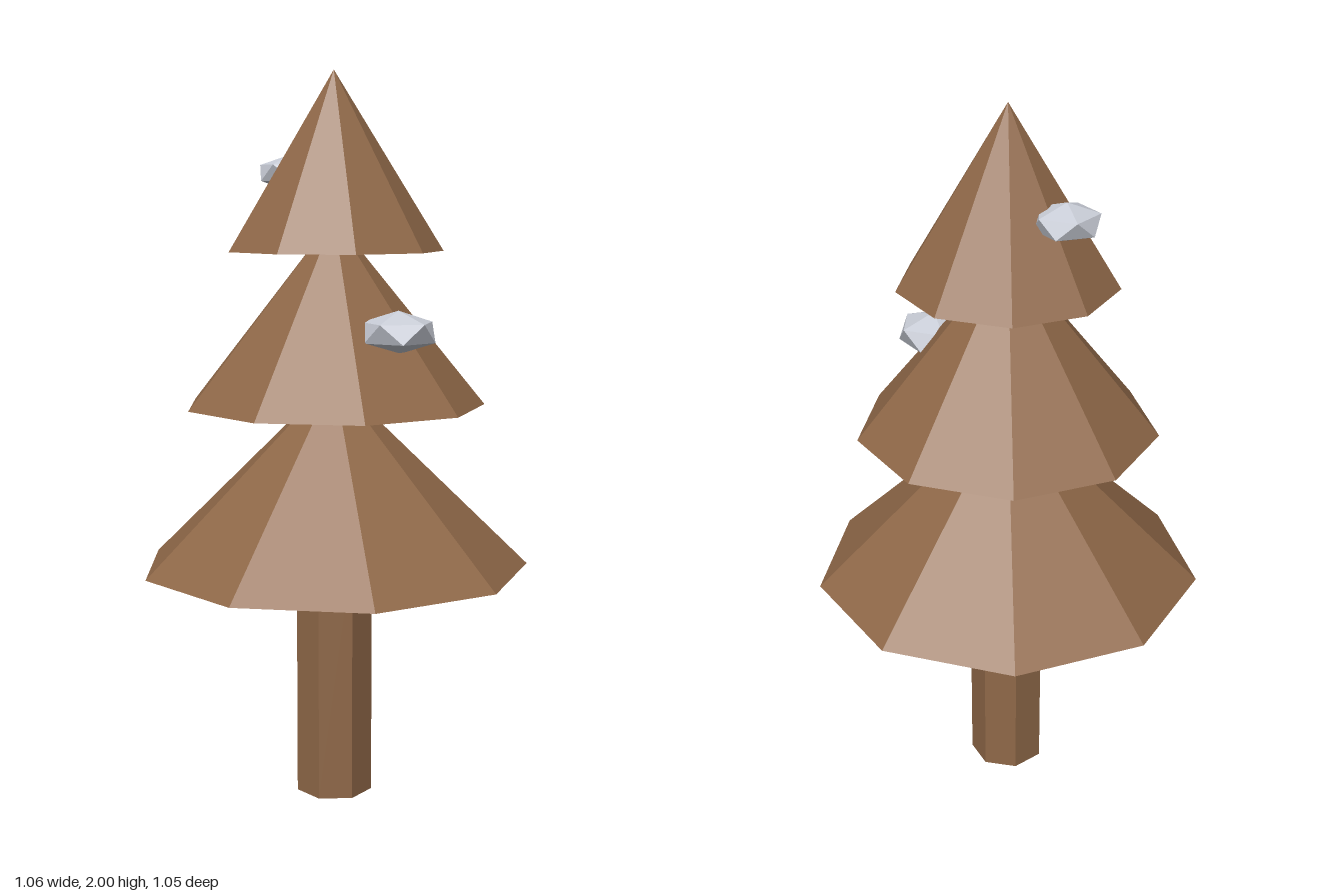
import * as THREE from 'three';

const bark = new THREE.MeshStandardMaterial({ color: 0x8f6848 });
bark.name = 'brown';
const stone = new THREE.MeshStandardMaterial({ color: 0xc8ccd6 });
stone.name = 'pale grey';

// Faceted mesh: unshared corners give every face its own normal
function facet(name, geometry, material) {
  const flat = geometry.index ? geometry.toNonIndexed() : geometry;
  flat.computeVertexNormals();
  const mesh = new THREE.Mesh(flat, material);
  mesh.name = name;
  return mesh;
}

export function createModel() {
  const tree = new THREE.Group();
  tree.name = 'tree';
  const axisZ = 0.015; // odd-sided prisms are centred by their bounds

  // Seven-sided trunk with a corner to the back
  const trunk = facet('trunk', new THREE.CylinderGeometry(0.107, 0.107, 0.7, 7).rotateY(Math.PI), bark);
  trunk.position.set(0, 0.35, axisZ);
  tree.add(trunk);

  // Three nine-sided branch tiers: name, radius, base, apex
  const tiers = [
    ['lowerTier', 0.54, 0.65, 1.175],
    ['middleTier', 0.415, 1.1, 1.61],
    ['upperTier', 0.298, 1.52, 2.0],
  ];
  for (const [name, radius, base, apex] of tiers) {
    const tier = facet(name, new THREE.ConeGeometry(radius, apex - base, 9).rotateY(Math.PI), bark);
    tier.position.set(0, (base + apex) / 2, axisZ);
    tree.add(tier);
  }

  // Flattened icosahedra standing on a corner: name, x, y, radius
  const tilt = -Math.atan(2 / (1 + Math.sqrt(5)));
  const lumps = [
    ['leftLump', 0.257, 1.315, 0.11],
    ['rightLump', -0.186, 1.73, 0.096],
  ];
  for (const [name, x, y, radius] of lumps) {
    const geometry = new THREE.IcosahedronGeometry(radius, 0).rotateZ(tilt).scale(1, 0.52, 1);
    const lump = facet(name, geometry, stone);
    lump.position.set(x, y, axisZ);
    tree.add(lump);
  }
  return tree;
}
